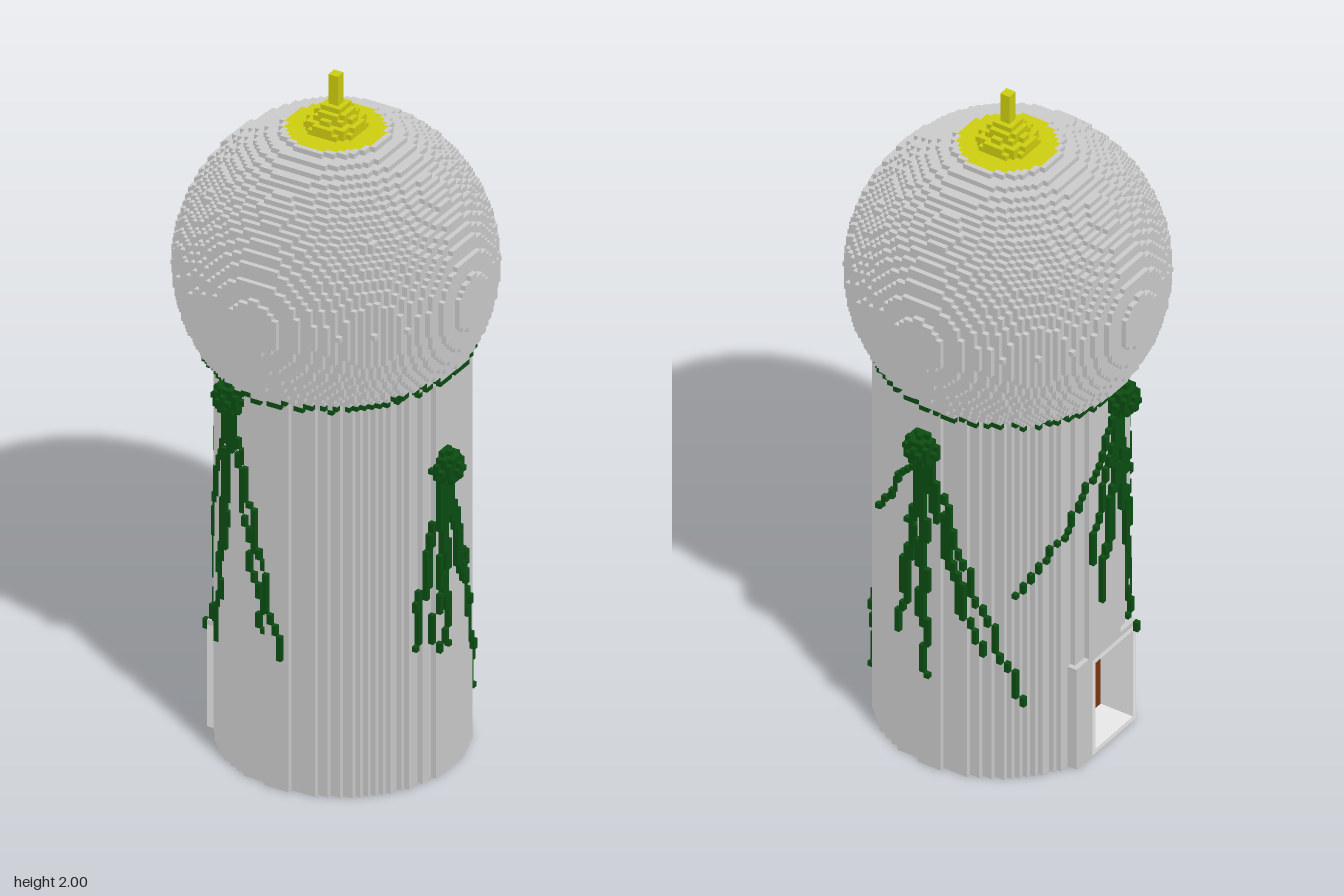
import * as THREE from 'three';

const S = 1 / 68; // voxel edge
const TOWER = { cx: 1.5, cz: 0, r: 22.65, top: 84 };
const DOME = { cy: 97.3, r: 29 };

const mat = (name, color, extra) => new THREE.MeshStandardMaterial({ name, color, ...extra });

export function createModel() {
  const colors = {
    stone: mat('stone grey', 0xcacaca),
    gold: mat('gold', 0xcccc10),
    vine: mat('vine green', 0x0b4d12),
    plaster: mat('white plaster', 0xf0f0f0),
    wood: mat('door brown', 0x7a3512),
    glass: mat('door panel', 0x38483a),
  };
  const partColor = {
    tower: 'stone', dome: 'stone', finial: 'gold', neckVine: 'vine', climbingVines: 'vine',
    doorway: 'plaster', doorLeaves: 'wood', doorPanels: 'glass',
  };

  // Voxel store: cell key -> part name
  const cells = new Map();
  const key = (x, y, z) => (y * 128 + z + 64) * 128 + x + 64;
  const get = (x, y, z) => (y < 0 ? undefined : cells.get(key(x, y, z)));
  const put = (part, x, y, z) => {
    if (part) cells.set(key(x, y, z), part);
    else cells.delete(key(x, y, z));
  };
  const box = (part, x0, x1, y0, y1, z0, z1) => {
    for (let x = x0; x <= x1; x++)
      for (let y = y0; y <= y1; y++)
        for (let z = z0; z <= z1; z++) put(part, x, y, z);
  };
  const disc = (part, y, r, cx = 0, cz = 0) => {
    for (let x = -32; x < 32; x++)
      for (let z = -32; z < 32; z++)
        if (Math.hypot(x + 0.5 - cx, z + 0.5 - cz) < r) put(part, x, y, z);
  };

  // Round tower, slightly off the dome's axis
  for (let y = 0; y < TOWER.top; y++) disc('tower', y, TOWER.r, TOWER.cx, TOWER.cz);

  // Ball dome, cut flat under the finial
  for (let y = 70; y < 125; y++) {
    const h = y + 0.5 - DOME.cy;
    const r = Math.sqrt(Math.max(0, DOME.r ** 2 - h * h));
    for (let x = -30; x < 30; x++)
      for (let z = -30; z < 30; z++)
        if (Math.hypot(x + 0.5, z + 0.5) < r && !get(x, y, z)) put('dome', x, y, z);
  }

  // Stepped finial and spike
  [9, 5.4, 5, 3.8, 3.2, 2.2].forEach((r, i) => disc('finial', 124 + i, r));
  for (let y = 130; y < 136; y++) disc('finial', y, 1);

  // Doorway recess with a double door at its back
  box('tower', -21, -14, 0, 21, -9, 9);
  box('doorway', -21, -14, 0, 20, -4, 9);
  box(null, -21, -15, 1, 19, -3, 8);
  for (const z of [-3, 3]) {
    box('doorLeaves', -14, -14, 1, 18, z, z + 5);
    box('doorPanels', -14, -14, 4, 15, z + 2, z + 3);
  }

  // Vine following the seam below the dome
  for (let x = -26; x < 28; x++)
    for (let z = -26; z < 27; z++) {
      const d = Math.hypot(x + 0.5 - TOWER.cx, z + 0.5 - TOWER.cz);
      if (d < TOWER.r || d > TOWER.r + 1) continue;
      let y = 70;
      while (y < 100 && !get(x, y, z)) y++;
      if (y < 100) {
        if ((x * 7 + z * 5 + 300) % 6 > 0) put('neckVine', x, y - 1, z);
      } else put('neckVine', x, 82, z);
    }

  // Climbing vines: cells laid on the wall, seen along one axis
  const clad = (side, u, y) => {
    const sign = side[0] === '+' ? 1 : -1;
    const at = (d) => (side[1] === 'x' ? [sign > 0 ? d : -1 - d, y, u] : [u, y, sign > 0 ? d : -1 - d]);
    let d = 26;
    while (d > 0) {
      const p = get(...at(d));
      if (p === 'climbingVines') return at(d);
      if (p) break;
      d--;
    }
    if (d === 0) return null;
    put('climbingVines', ...at(d + 1));
    return at(d + 1);
  };
  const strand = (side, u0, y0, [u1, y1, thick]) => {
    const n = Math.round((y0 - y1) / S);
    for (let i = 0; i <= n; i++) {
      const t = i / n;
      const u = (u0 + (u1 - u0) * t) / S + Math.sin(i * 0.55 + u1 * 40) * 0.5;
      const y = Math.floor(y0 / S) - i;
      clad(side, Math.floor(u), y);
      if (thick && t < 0.8) clad(side, Math.floor(u) + 1, y);
    }
  };
  const vine = (side, u, y, r, ends) => {
    ends.forEach((e) => strand(side, u, y, e));
    const c = clad(side, Math.floor(u / S), Math.floor(y / S));
    const R = Math.ceil(r);
    for (let i = -R; i <= R; i++)
      for (let j = -R; j <= R; j++)
        for (let k = -R; k <= R; k++)
          if (Math.hypot(i, j, k) <= r && !get(c[0] + i, c[1] + j, c[2] + k))
            put('climbingVines', c[0] + i, c[1] + j, c[2] + k);
  };
  vine('+z', -0.14, 1.13, 3.2, [
    [-0.23, 0.33, 1], [-0.28, 0.62, 0], [-0.17, 0.7, 0], [-0.02, 0.47, 0], [0.04, 0.41, 0],
  ]);
  vine('+x', 0.035, 0.94, 3.2, [
    [0.14, 0.42, 1], [0.025, 0.39, 1], [-0.1, 0.43, 1], [-0.2, 0.15, 0], [0.08, 0.4, 0],
  ]);
  vine('-z', 0.03, 1.03, 3.2, [
    [0.03, 0.3, 1], [-0.12, 0.4, 1], [-0.22, 0.23, 0], [0.12, 0.4, 1], [0.22, 0.72, 0],
  ]);
  vine('-x', 0.06, 1.1, 3.2, [
    [-0.26, 0.6, 0], [-0.08, 0.65, 0], [-0.03, 0.5, 1], [0.06, 0.75, 1], [0.15, 0.3, 1],
  ]);

  // Exposed faces of every cell, gathered by part
  const faces = Object.fromEntries(Object.keys(partColor).map((p) => [p, { pos: [], nor: [] }]));
  const loop = [[0, 0], [1, 0], [1, 1], [0, 0], [1, 1], [0, 1]];
  for (const [k, part] of cells) {
    const c = [(k % 128) - 64, Math.floor(k / 16384), (Math.floor(k / 128) % 128) - 64];
    for (let a = 0; a < 3; a++)
      for (const s of [1, -1]) {
        const n = [0, 0, 0];
        n[a] = s;
        if (get(c[0] + n[0], c[1] + n[1], c[2] + n[2])) continue;
        const [u, v] = s > 0 ? [(a + 1) % 3, (a + 2) % 3] : [(a + 2) % 3, (a + 1) % 3];
        for (const [i, j] of loop) {
          const p = [...c];
          p[a] += s > 0 ? 1 : 0;
          p[u] += i;
          p[v] += j;
          faces[part].pos.push(p[0] * S, p[1] * S, p[2] * S);
          faces[part].nor.push(...n);
        }
      }
  }

  const group = new THREE.Group();
  group.name = 'domedTower';
  for (const [part, { pos, nor }] of Object.entries(faces)) {
    const geo = new THREE.BufferGeometry();
    geo.setAttribute('position', new THREE.Float32BufferAttribute(pos, 3));
    geo.setAttribute('normal', new THREE.Float32BufferAttribute(nor, 3));
    const mesh = new THREE.Mesh(geo, colors[partColor[part]]);
    mesh.name = part;
    group.add(mesh);
  }
  return group;
}
